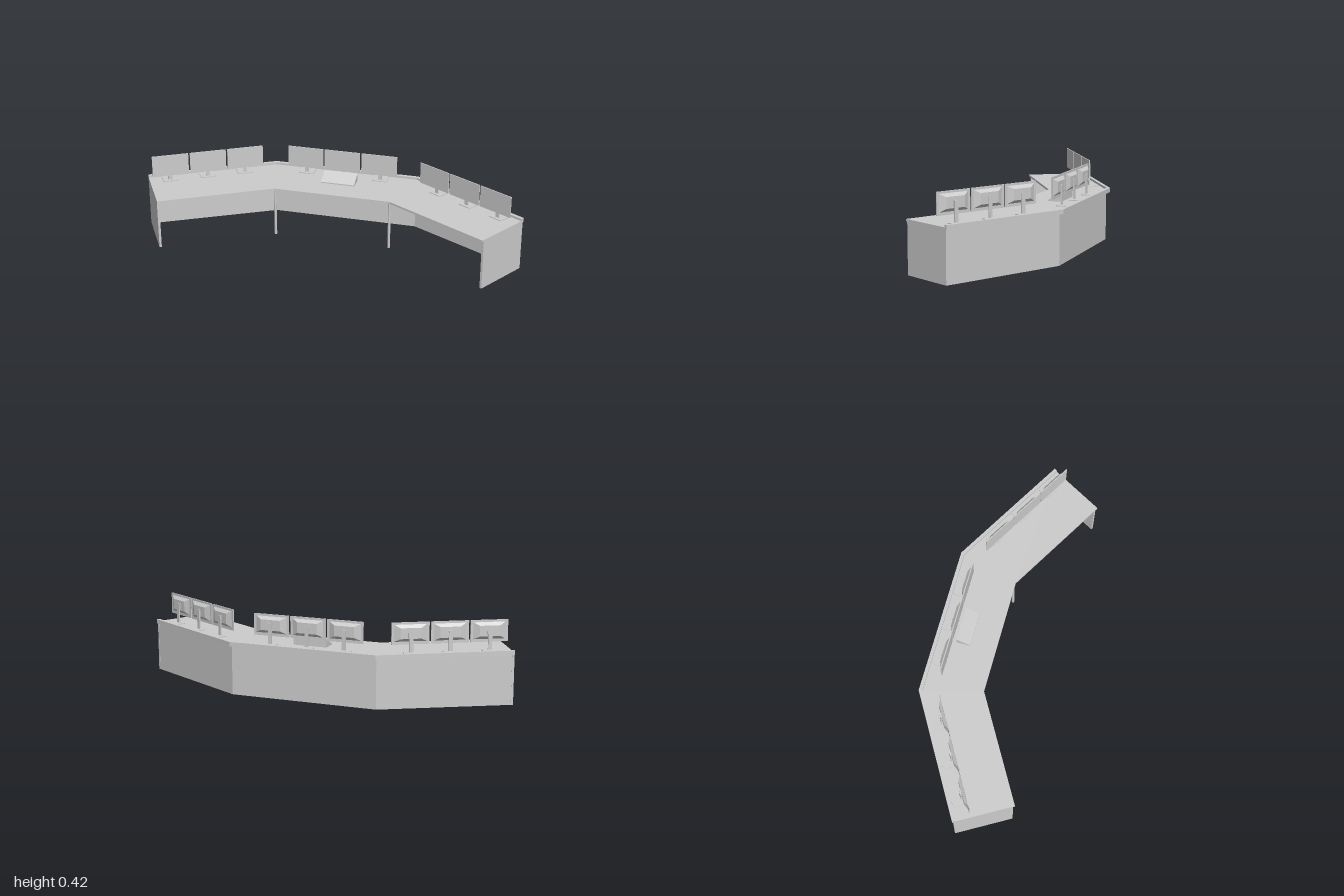
import * as THREE from 'three';

const grey = new THREE.MeshStandardMaterial({ color: 0xcccccc });
grey.name = 'light grey';

function add(parent, name, geometry, x = 0, y = 0, z = 0) {
  const mesh = new THREE.Mesh(geometry, grey);
  mesh.name = name;
  mesh.position.set(x, y, z);
  parent.add(mesh);
  return mesh;
}

// Flat slab from a plan outline of [x, z] points between two heights
function slab(points, y0, y1) {
  const shape = new THREE.Shape(points.map(([x, z]) => new THREE.Vector2(x, -z)));
  const g = new THREE.ExtrudeGeometry(shape, { depth: y1 - y0, bevelEnabled: false });
  return g.rotateX(-Math.PI / 2).translate(0, y0, 0);
}

// Mirror the right half of a polyline (centre to end) into a full run from -x to +x
const run = (half) => [...half.map(([x, z]) => [-x, z]).reverse(), ...half];
// Close a back run and a front run into one outline
const band = (back, front) => [...run(back), ...run(front).reverse()];

const C = Math.cos(Math.PI / 6), S = 0.5, T = Math.tan(Math.PI / 12);
const BACK = [0.394, -0.314]; // rear bend of the desk
const LENGTH = 0.7;           // rear edge of a wing

// Bend and end points of a line set d forward of the rear edge
const lineAt = (d) => [
  [BACK[0] - d * T, BACK[1] + d],
  [BACK[0] + LENGTH * C - d * S, BACK[1] + LENGTH * S + d * C],
];

// Rounded plate for the monitor foot
function footGeometry(w, d, h) {
  const r = 0.012, x = w / 2, y = d / 2;
  const s = new THREE.Shape();
  s.absarc(x - r, y - r, r, 0, Math.PI / 2);
  s.absarc(-x + r, y - r, r, Math.PI / 2, Math.PI);
  s.absarc(-x + r, -y + r, r, Math.PI, Math.PI * 1.5);
  s.absarc(x - r, -y + r, r, Math.PI * 1.5, Math.PI * 2);
  const g = new THREE.ExtrudeGeometry(s, { depth: h, bevelEnabled: false, curveSegments: 4 });
  return g.rotateX(-Math.PI / 2);
}

// Tapered rear housing: the back face of a box is drawn in
function housingGeometry() {
  const g = new THREE.BoxGeometry(0.165, 0.086, 0.015).toNonIndexed();
  const p = g.attributes.position;
  for (let i = 0; i < p.count; i++) {
    if (p.getZ(i) < 0) p.setXY(i, p.getX(i) * 0.64, p.getY(i) * 0.64);
  }
  g.computeVertexNormals();
  return g;
}

function makeMonitor() {
  const m = new THREE.Group();
  m.name = 'monitor';
  add(m, 'screen', new THREE.BoxGeometry(0.192, 0.112, 0.005), 0, 0.364, 0);
  add(m, 'rearHousing', housingGeometry(), 0, 0.366, -0.01);
  add(m, 'mount', new THREE.BoxGeometry(0.03, 0.034, 0.004), 0, 0.362, -0.0175);
  add(m, 'pole', new THREE.BoxGeometry(0.02, 0.105, 0.007), 0, 0.3225, -0.0215);
  add(m, 'foot', footGeometry(0.08, 0.07, 0.004), 0, 0.268, -0.036);
  return m;
}

export function createModel() {
  const model = new THREE.Group();
  model.name = 'controlDesk';

  // Worktop and raised rear ledge
  add(model, 'worktop', slab(band(lineAt(0.018), lineAt(0.32)), 0.257, 0.268));
  add(model, 'rearLedge', slab(band(lineAt(0), lineAt(0.018)), 0.257, 0.28));

  // Modesty panel following the bends
  add(model, 'backPanel', slab(band(
    [[0.39, -0.293], [0.986, 0.037]],
    [[0.387, -0.281], [0.98, 0.047]]), 0, 0.257));

  // End panels, and round legs under the front bends
  for (const side of [-1, 1]) {
    const [bx, bz] = lineAt(0.007)[1], [fx, fz] = lineAt(0.31)[1];
    const t = 0.012;
    const pts = [[bx, bz], [fx, fz], [fx - t * C, fz - t * S], [bx - t * C, bz - t * S]];
    add(model, 'endPanel', slab(pts.map(([x, z]) => [x * side, z]), 0, 0.257));
    add(model, 'leg', new THREE.CylinderGeometry(0.007, 0.007, 0.257, 16), side * 0.307, 0.1285, -0.006);
  }

  // Three monitors on the middle section and on each wing
  for (let i = -1; i <= 1; i++) {
    const m = makeMonitor();
    m.position.set(i * 0.2, 0, -0.22);
    model.add(m);
  }
  for (const side of [-1, 1]) {
    const wing = new THREE.Group();
    wing.name = side > 0 ? 'leftWingMonitors' : 'rightWingMonitors';
    wing.position.set(side * BACK[0], 0, BACK[1]);
    wing.rotation.y = -side * Math.PI / 6;
    for (let i = 0; i < 3; i++) {
      const m = makeMonitor();
      m.position.set(side * (0.191 + i * 0.2), 0, 0.094);
      wing.add(m);
    }
    model.add(wing);
  }

  // Sloping control console in the middle
  const wedge = new THREE.Shape([[0.128, 0.268], [0.2, 0.268], [0.2, 0.311], [0.128, 0.274]]
    .map(([x, y]) => new THREE.Vector2(x, y)));
  const g = new THREE.ExtrudeGeometry(wedge, { depth: 0.18, bevelEnabled: false });
  g.rotateY(Math.PI / 2).translate(-0.092, 0, 0);
  add(model, 'console', g);

  return model;
}
